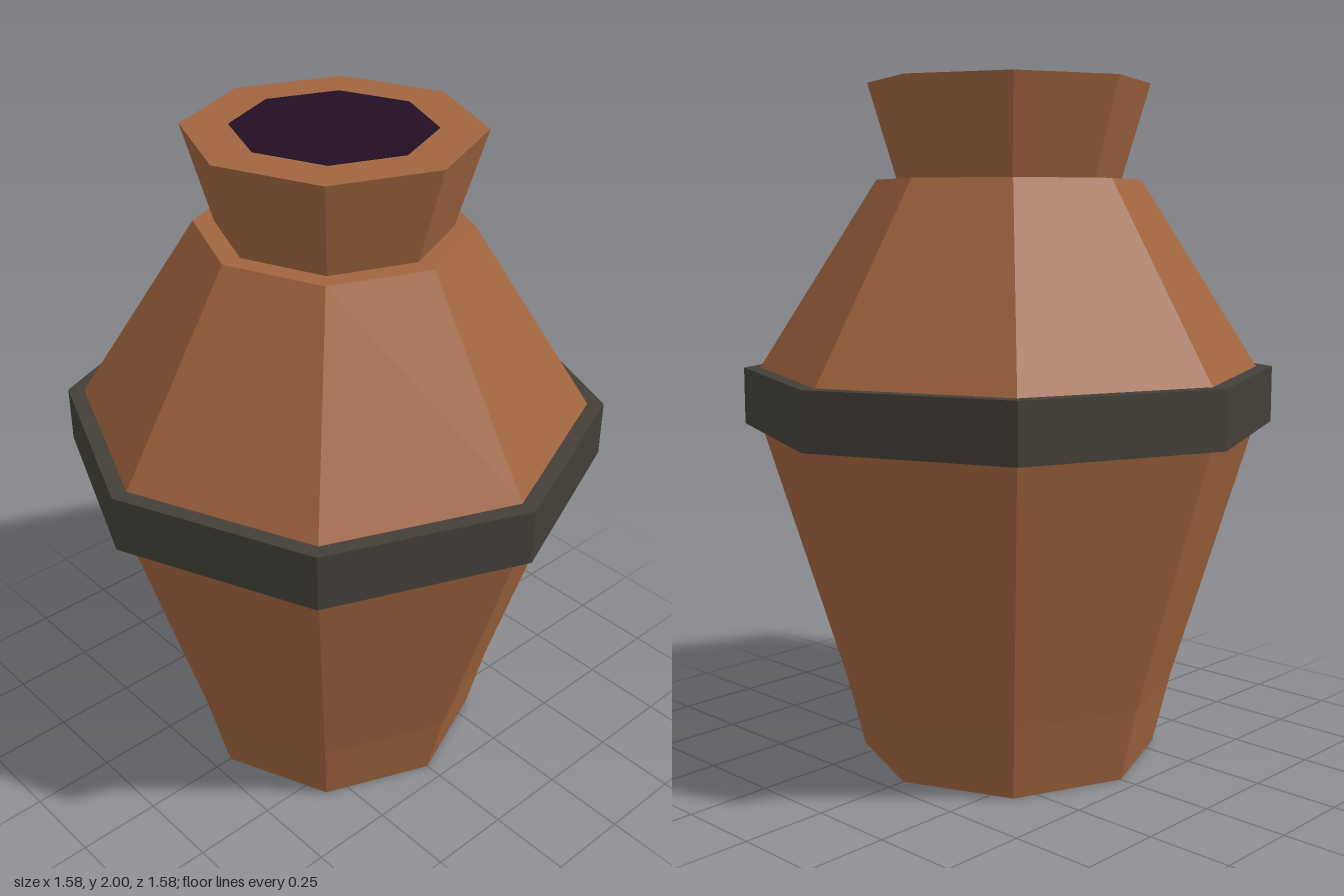
import * as THREE from 'three';

const SIDES = 8;

function material(name, color) {
  const m = new THREE.MeshStandardMaterial({ color, flatShading: true });
  m.name = name;
  return m;
}

// Eight-sided solid of revolution from [radius, height] pairs, bottom to top
function turned(name, profile, mat) {
  const points = profile.map(([r, y]) => new THREE.Vector2(r, y));
  const mesh = new THREE.Mesh(new THREE.LatheGeometry(points, SIDES), mat);
  mesh.name = name;
  return mesh;
}

export function createModel() {
  const clay = material('clay', 0xa0643e);
  const iron = material('dark band', 0x433f38);
  const hollow = material('dark hollow', 0x240f24);

  const pot = new THREE.Group();
  pot.name = 'pot';

  // Tapered lower body with closed base
  pot.add(turned('body', [[0, 0], [0.445, 0], [0.5, 0.22], [0.742, 1.0], [0.742, 1.17]], clay));

  // Sloping shoulder with a narrow ledge around the neck
  pot.add(turned('shoulder', [[0.742, 1.17], [0.39, 1.722], [0.33, 1.722]], clay));

  // Flared neck with flat top
  pot.add(turned('neck', [[0.33, 1.722], [0.413, 2.0], [0, 2.0]], clay));

  // Band around the widest part
  pot.add(turned('band', [[0.73, 1.003], [0.79, 1.003], [0.79, 1.17], [0.73, 1.17]], iron));

  // Dark mouth, a thin plate on the neck top
  const mouth = new THREE.Mesh(new THREE.CylinderGeometry(0.28, 0.28, 0.004, SIDES), hollow);
  mouth.name = 'mouth';
  mouth.position.y = 2.0;
  pot.add(mouth);

  return pot;
}
